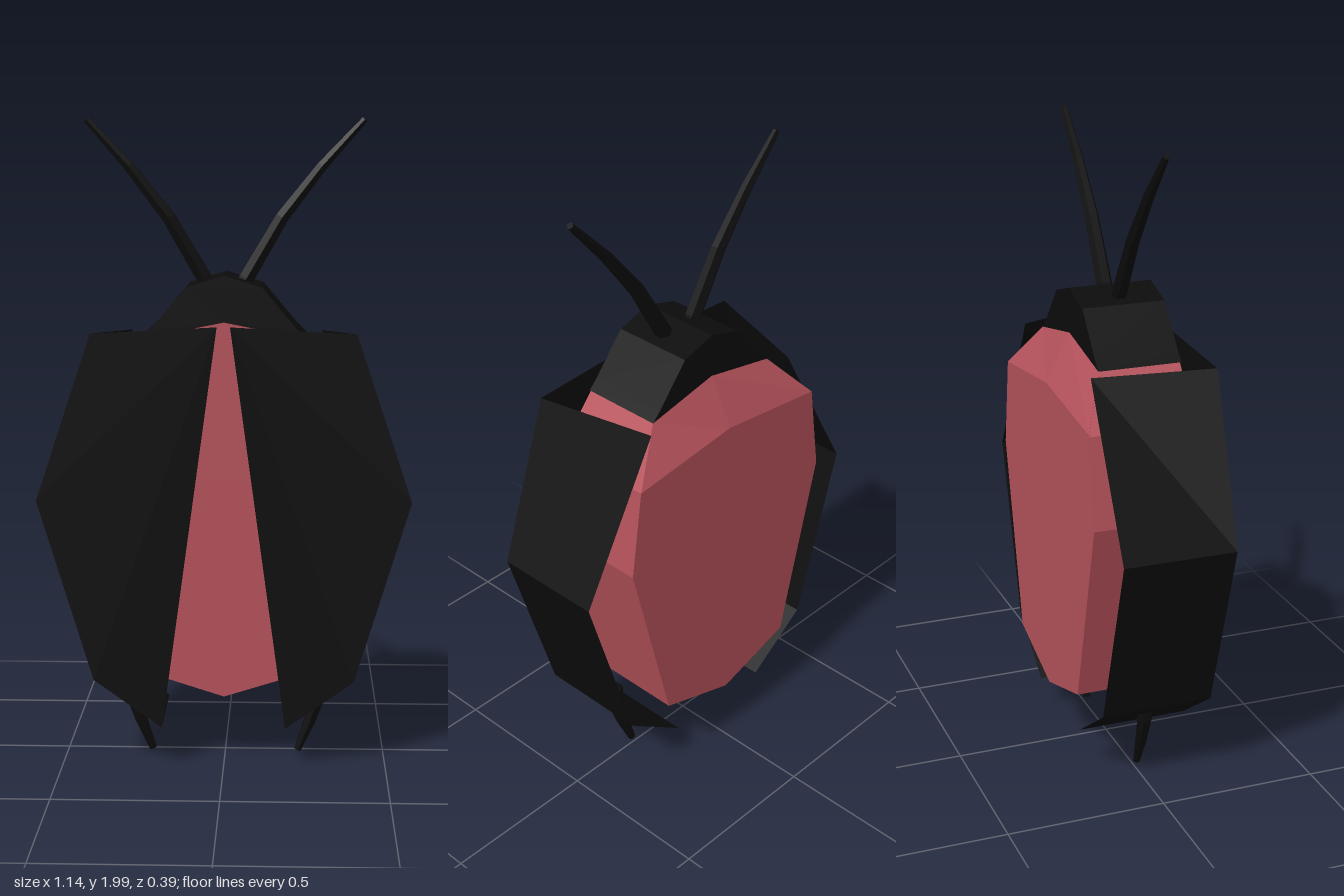
import * as THREE from 'three';

const material = (name, color, side = THREE.FrontSide) => {
  const m = new THREE.MeshStandardMaterial({ color, flatShading: true, side });
  m.name = name;
  return m;
};

// Closed shape from the points of its +x half, listed from top centre to bottom centre
function symmetricShape(half) {
  const mirrored = half.slice(1, -1).reverse().map(([x, y]) => [-x, y]);
  return new THREE.Shape([...half, ...mirrored].map(([x, y]) => new THREE.Vector2(x, y)));
}

// Tapered six-sided limb along a path in the xy plane; points are [x, y, radius]
function limb(points, side, z) {
  const n = points.length - 1;
  const geo = new THREE.CylinderGeometry(1, 1, 1, 6, n);
  const pos = geo.attributes.position;
  for (let i = 0; i < pos.count; i++) {
    const k = Math.round((pos.getY(i) + 0.5) * n);
    const [x, y, r] = points[k];
    const a = points[Math.max(k - 1, 0)], b = points[Math.min(k + 1, n)];
    const t = new THREE.Vector2(side * (b[0] - a[0]), b[1] - a[1]).normalize();
    const across = pos.getX(i) * r;
    pos.setXYZ(i, side * x + across * t.y, y - across * t.x, z + pos.getZ(i) * r);
  }
  geo.computeVertexNormals();
  return geo;
}

// Wing case: a flat front sheet with an outer wall, open at the back, top and inner edge
function wingCase(side) {
  const front = [[0.02, 1.37], [0.40, 1.35], [0.57, 0.84], [0.40, 0.28], [0.19, 0.13]];
  const back = [[0.02, 1.37], [0.30, 1.33], [0.57, 0.84], [0.40, 0.28], [0.19, 0.13]];
  const out = [];
  const tri = (a, b, c) => {
    for (const [x, y, z] of side > 0 ? [a, b, c] : [a, c, b]) out.push(side * x, y, z);
  };
  const F = front.map((p) => [...p, 0.195]);
  const B = back.map((p) => [...p, -0.16]);
  for (let i = 1; i < F.length - 1; i++) {
    tri(F[0], F[i + 1], F[i]);
    tri(F[i], F[i + 1], B[i]);
    tri(F[i + 1], B[i + 1], B[i]);
  }
  const geo = new THREE.BufferGeometry();
  geo.setAttribute('position', new THREE.Float32BufferAttribute(out, 3));
  geo.computeVertexNormals();
  return geo;
}

// Body: a prism whose upper back edge is cut off at a slant
function bodyGeometry() {
  const half = [[0, 1.38], [0.25, 1.33], [0.38, 1.18], [0.42, 0.9], [0.27, 0.3], [0, 0.215]];
  const geo = new THREE.ExtrudeGeometry(symmetricShape(half), { depth: 2, steps: 2, bevelEnabled: false });
  const pos = geo.attributes.position;
  const levels = [-0.195, -0.118, 0.14];
  for (let i = 0; i < pos.count; i++) {
    const level = Math.round(pos.getZ(i));
    pos.setZ(i, levels[level]);
    if (level === 0 && pos.getY(i) > 1.3) {
      const x = pos.getX(i);
      if (Math.abs(x) < 0.01) pos.setY(i, 1.23);
      else pos.setXY(i, Math.sign(x) * 0.38, 1.185);
    }
  }
  geo.computeVertexNormals();
  return geo;
}

export function createModel() {
  const black = material('shell black', 0x0c0c0c);
  const blackSheet = material('wing black', 0x0c0c0c, THREE.DoubleSide);
  const red = material('body red', 0xb5525b);

  const group = new THREE.Group();
  group.name = 'beetle';
  const add = (name, geo, mat) => {
    const mesh = new THREE.Mesh(geo, mat);
    mesh.name = name;
    group.add(mesh);
  };

  add('body', bodyGeometry(), red);

  // Head, seated on the slanted shoulders of the body
  const head = new THREE.ExtrudeGeometry(
    symmetricShape([[0, 1.52], [0.115, 1.485], [0.22, 1.36], [0.25, 1.33], [0, 1.38]]),
    { depth: 0.263, bevelEnabled: false });
  head.translate(0, 0, -0.118);
  add('head', head, black);

  // Paired parts
  const antenna = [[0.04, 1.45, 0.026], [0.065, 1.505, 0.026], [0.173, 1.69, 0.023],
    [0.294, 1.845, 0.018], [0.422, 1.985, 0.011]];
  const leg = [[0.23, 0.008, 0.012], [0.268, 0.105, 0.02], [0.296, 0.19, 0.025], [0.3, 0.27, 0.025]];
  for (const [side, label] of [[1, 'left'], [-1, 'right']]) {
    add(label + 'WingCase', wingCase(side), blackSheet);
    add(label + 'Antenna', limb(antenna, side, 0.018), black);
    add(label + 'Leg', limb(leg, side, 0.018), black);
  }
  return group;
}
